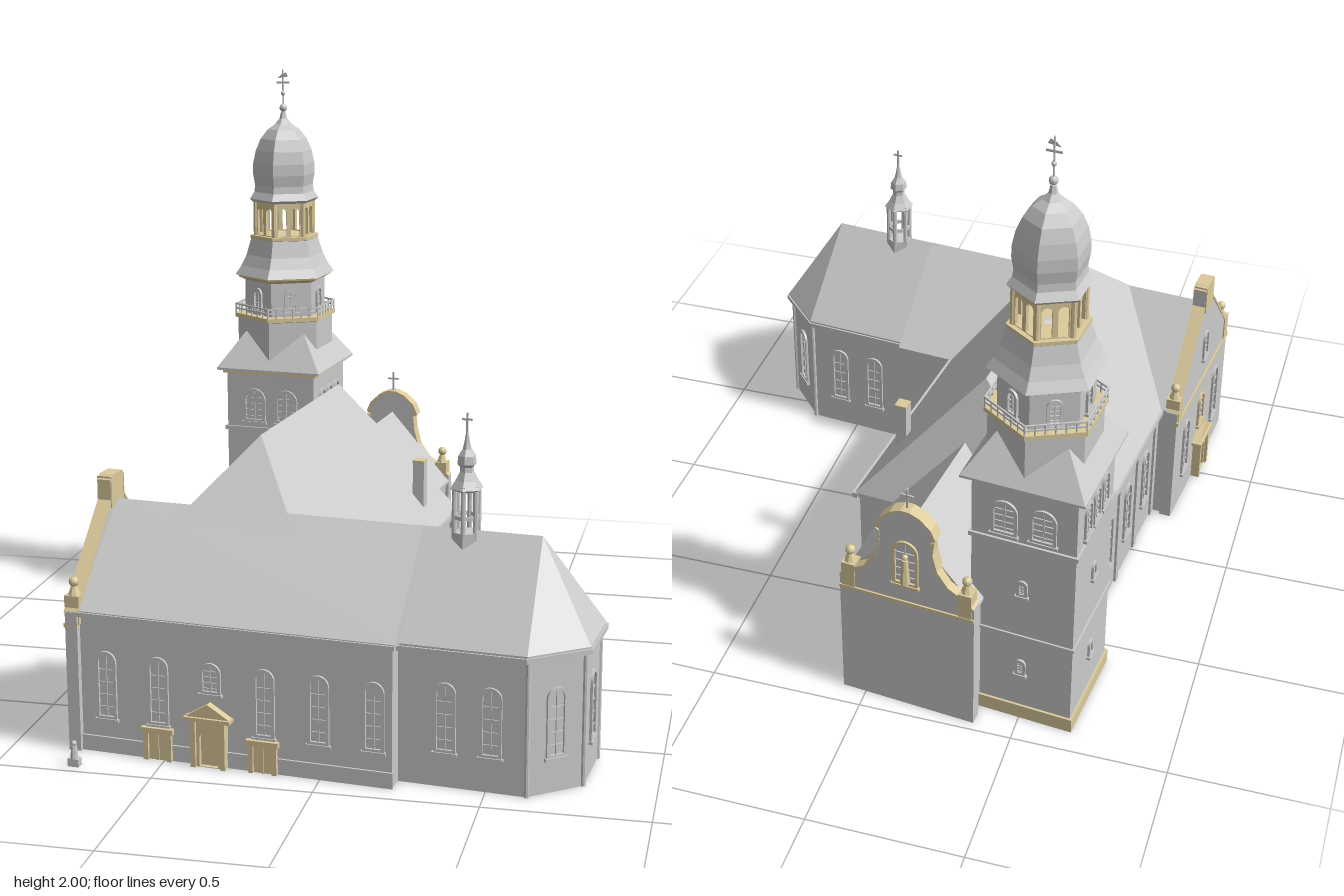
import * as THREE from 'three';
import { ConvexGeometry } from 'three/addons/geometries/ConvexGeometry.js';

const grey = new THREE.MeshStandardMaterial({ color: 0xcccccc, flatShading: true });
const thin = new THREE.MeshStandardMaterial({ color: 0xcccccc, flatShading: true, side: THREE.DoubleSide });
const tan = new THREE.MeshStandardMaterial({ color: 0xdccb9c, flatShading: true });
const Q = Math.PI / 2;

function place(parent, obj, name, x = 0, y = 0, z = 0, ry = 0) {
  obj.name = name;
  obj.position.set(x, y, z);
  obj.rotation.y = ry;
  parent.add(obj);
  return obj;
}
const group = (parent, name, ...at) => place(parent, new THREE.Group(), name, ...at);
const add = (parent, name, geo, mat = grey, ...at) => place(parent, new THREE.Mesh(geo, mat), name, ...at);
// box given by its low and high corners
const block = (parent, name, x0, x1, y0, y1, z0, z1, mat = grey) =>
  add(parent, name, new THREE.BoxGeometry(x1 - x0, y1 - y0, z1 - z0), mat, (x0 + x1) / 2, (y0 + y1) / 2, (z0 + z1) / 2);
// convex roof: plan outline raised from y0 to y1, plus ridge points
function roof(parent, name, plan, y0, y1, ridge = []) {
  const pts = [...plan.flatMap(([x, z]) => [[x, y0, z], [x, y1, z]]), ...ridge];
  add(parent, name, new ConvexGeometry(pts.map(p => new THREE.Vector3(...p))));
}
// open wall shell standing along a path of [x, z] points
function walls(parent, name, path, h) {
  const geo = new THREE.BufferGeometry(), idx = [];
  geo.setAttribute('position', new THREE.Float32BufferAttribute(path.flatMap(([x, z]) => [x, 0, z, x, h, z]), 3));
  for (let i = 0; i < 2 * path.length - 2; i += 2) idx.push(i, i + 2, i + 1, i + 1, i + 2, i + 3);
  geo.setIndex(idx);
  geo.computeVertexNormals();
  add(parent, name, geo, thin);
}
const rect = (x0, x1, z0, z1) => [[x0, z0], [x1, z0], [x1, z1], [x0, z1]];
const extrude = (shape, depth) => new THREE.ExtrudeGeometry(shape, { depth, bevelEnabled: false, curveSegments: 8 });
const poly = pts => new THREE.Shape(pts.map(p => new THREE.Vector2(...p)));
// many-sided turned part, profile as [radius, height] from bottom to top
const turned = (pts, sides = 6) => new THREE.LatheGeometry(pts.map(p => new THREE.Vector2(...p)), sides);
const rod = (r, h, r2 = r) => new THREE.CylinderGeometry(r2, r, h, 8);
const ball = r => new THREE.SphereGeometry(r, 10, 8);

function arch(w, h, y0 = 0, x = 0, Type = THREE.Shape) {
  const s = new Type(), r = w / 2;
  s.moveTo(x - r, y0).lineTo;
  s.lineTo(x + r, y0);
  s.lineTo(x + r, h - r);
  s.absarc(x, h - r, r, 0, Math.PI, false);
  s.closePath();
  return s;
}
// arched frame with glazing bars; its back lies on the wall, facing +z before turning
function archWindow(parent, x, y, z, ry, w = 0.068, h = 0.22, mat = grey) {
  const g = group(parent, 'window', x, y, z, ry), s = arch(w, h);
  s.holes.push(arch(w - 0.02, h - 0.01, 0.01, 0, THREE.Path));
  add(g, 'windowFrame', extrude(s, 0.008), mat);
  block(g, 'mullion', -0.002, 0.002, 0.01, h - 0.01, 0, 0.004);
  for (let k = 1; k < 5; k++)
    block(g, 'glazingBar', -w / 2 + 0.01, w / 2 - 0.01, h * k / 5.5 - 0.001, h * k / 5.5 + 0.001, 0, 0.004);
  block(g, 'sill', -w / 2 - 0.005, w / 2 + 0.005, -0.008, 0.002, 0, 0.012, mat);
}
function smallDoor(parent, x, z, ry) {
  const g = group(parent, 'sideDoor', x, 0, z, ry);
  for (const s of [-1, 1]) block(g, 'doorPost', s * 0.038 - 0.008, s * 0.038 + 0.008, 0, 0.09, 0, 0.014, tan);
  block(g, 'doorLintel', -0.052, 0.052, 0.088, 0.106, 0, 0.018, tan);
  block(g, 'doorLeaf', -0.03, 0.03, 0, 0.088, -0.05, 0.005, tan);
  block(g, 'doorSplit', -0.003, 0.003, 0, 0.088, 0, 0.009, tan);
}
function portal(parent, x, z, ry) {
  const g = group(parent, 'portal', x, 0, z, ry);
  const s = poly([[-0.055, 0], [0.055, 0], [0.055, 0.15], [-0.055, 0.15]]);
  s.holes.push(arch(0.06, 0.12, 0.002, 0, THREE.Path));
  add(g, 'portalFrame', extrude(s, 0.02), tan);
  add(g, 'portalDoor', extrude(arch(0.06, 0.12), 0.056), tan, 0, 0, -0.05);
  for (const k of [-1, 1]) block(g, 'portalColumn', k * 0.048 - 0.008, k * 0.048 + 0.008, 0, 0.15, 0, 0.03, tan);
  block(g, 'portalCornice', -0.075, 0.075, 0.15, 0.162, 0, 0.035, tan);
  add(g, 'pediment', extrude(poly([[-0.07, 0.162], [0.07, 0.162], [0.025, 0.19], [0, 0.205], [-0.025, 0.19]]), 0.026), tan);
}
// gable wall with thin coping and shoulder finials; half = right-hand outline from shoulder to top
function gable(parent, name, half, x, z, ry) {
  const g = group(parent, name, x, 0, z, ry), [w, y] = half[0];
  const top = [...half, ...half.map(([a, b]) => [-a, b]).reverse()];
  add(g, 'gableWall', extrude(poly([[-w, 0], [w, 0], ...top]), 0.04));
  const lower = top.map(([a, b]) => [a * 0.97, b - 0.008]).reverse();
  add(g, 'gableCoping', extrude(poly([...top, ...lower]), 0.046), tan, 0, 0.002, -0.003);
  block(g, 'gableBand', -w, w, y - 0.05, y - 0.038, 0, 0.046, tan);
  for (const s of [-w + 0.03, w - 0.03]) {
    block(g, 'finialBase', s - 0.022, s + 0.022, y - 0.04, y + 0.05, -0.004, 0.044, tan);
    add(g, 'finialNeck', rod(0.02, 0.03, 0.008), tan, s, y + 0.065, 0.02);
    add(g, 'finialBall', ball(0.016), tan, s, y + 0.09, 0.02);
  }
  return g;
}
function cross(parent, y, z, h) {
  block(parent, 'crossPost', -0.003, 0.003, y, y + h, z - 0.003, z + 0.003);
  block(parent, 'crossArm', -h * 0.27, h * 0.27, y + h * 0.62, y + h * 0.62 + 0.006, z - 0.003, z + 0.003);
}
function tower(parent, x, z) {
  const t = group(parent, 'tower', x, 0, z), H = 0.168, D = Math.SQRT2;
  walls(t, 'towerShaft', [...rect(-H, H, -H, H), [-H, -H]], 0.925);
  for (const [y0, y1, e, mat] of [[0, 0.05, 0.008, tan], [0.33, 0.34, 0.006, grey], [0.69, 0.705, 0.008, grey], [0.905, 0.918, 0.012, tan]])
    add(t, 'stringCourse', turned([[H * D, y0], [(H + e) * D, y0], [(H + e) * D, y1], [H * D, y1]], 4), mat, 0, 0, 0, Q / 2);
  for (let k = 0; k < 4; k++) {
    const side = group(t, 'towerSide', 0, 0, 0, k * Q), three = k % 2;
    for (const d of three ? [-0.078, 0, 0.078] : [-0.062, 0.062]) archWindow(side, d, 0.725, H, 0, three ? 0.062 : 0.085, 0.125);
    for (const y of [0.18, 0.5]) archWindow(side, 0, y, H, 0, 0.035, 0.06);
  }
  // square skirt roof running into the six-sided drum
  const q = 0.113, e = 0.197;
  roof(t, 'skirtRoof', rect(-e, e, -e, e), 0.918, 0.926, rect(-q, q, -q, q).map(([a, b]) => [a, 1.052, b]));
  add(t, 'lowerDrum', turned([[0.176, 0.92], [0.176, 1.1]]));
  add(t, 'galleryFloor', turned([[0.17, 1.095], [0.187, 1.1], [0.187, 1.115], [0.1, 1.115]]), tan);
  for (const y of [1.13, 1.146]) add(t, 'galleryRail', turned([[0.18, y], [0.186, y], [0.186, y + 0.006], [0.18, y + 0.006], [0.18, y]]));
  add(t, 'upperDrum', turned([[0.148, 1.1], [0.148, 1.25]]));
  add(t, 'drumCornice', turned([[0.148, 1.238], [0.172, 1.25], [0.176, 1.262]]), tan);
  add(t, 'bellRoof', turned([[0.16, 1.255], [0.184, 1.258], [0.162, 1.29], [0.142, 1.33], [0.13, 1.37], [0.124, 1.39], [0.02, 1.39]]));
  add(t, 'lanternSill', turned([[0.12, 1.385], [0.126, 1.39], [0.126, 1.402], [0.02, 1.402]]), tan);
  // arcade panel with two round-headed openings on each face of the lantern
  const panel = poly([[-0.052, 1.4], [0.052, 1.4], [0.052, 1.53], [-0.052, 1.53]]);
  for (const d of [-0.024, 0.024]) panel.holes.push(arch(0.032, 1.506, 1.405, d, THREE.Path));
  for (let k = 0; k < 6; k++) {
    const side = group(t, 'drumSide', 0, 0, 0, (k + 0.5) * Math.PI / 3);
    add(side, 'lanternArcade', extrude(panel, 0.01), tan, 0, 0, 0.084);
    add(side, 'lanternPost', rod(0.01, 0.13), tan, 0.0525, 1.465, 0.091);
    archWindow(side, 0, 1.125, 0.128, 0, 0.05, 0.09);
    for (let j = 0; j < 6; j++) add(side, 'baluster', rod(0.003, 0.04), grey, -0.0915 + j * 0.0305, 1.132, 0.1585);
  }
  add(t, 'dome', turned([[0.02, 1.525], [0.118, 1.525], [0.127, 1.535], [0.11, 1.56], [0.107, 1.585], [0.114, 1.625], [0.113, 1.665],
    [0.103, 1.71], [0.085, 1.752], [0.058, 1.786], [0.03, 1.805], [0.014, 1.825], [0.008, 1.85]]));
  add(t, 'domeBall', ball(0.014), grey, 0, 1.863, 0);
  add(t, 'vaneRod', rod(0.003, 0.14), grey, 0, 1.93, 0);
  add(t, 'vaneBall', ball(0.008), grey, 0, 1.915, 0);
  block(t, 'vaneArm', -0.024, 0.024, 1.95, 1.957, -0.002, 0.002);
  add(t, 'vaneTail', extrude(poly([[-0.02, 1.968], [0.02, 1.975], [0.012, 1.99], [-0.006, 1.982]]), 0.003));
}
function ridgeTurret(parent, x, z) {
  const t = group(parent, 'ridgeTurret', x, 0, z);
  add(t, 'turretBase', turned([[0.046, 0.66], [0.046, 0.725], [0.005, 0.73]]));
  for (let k = 0; k < 6; k++)
    add(t, 'turretPost', rod(0.008, 0.16), grey, 0.038 * Math.sin(k * Math.PI / 3), 0.79, 0.038 * Math.cos(k * Math.PI / 3));
  add(t, 'turretRail', turned([[0.035, 0.765], [0.043, 0.765], [0.043, 0.777], [0.035, 0.777], [0.035, 0.765]]));
  add(t, 'turretSpire', turned([[0.005, 0.852], [0.04, 0.852], [0.052, 0.86], [0.035, 0.885], [0.022, 0.91], [0.021, 0.925],
    [0.03, 0.935], [0.027, 0.96], [0.014, 0.98], [0.009, 1.0], [0.003, 1.035]]));
  cross(t, 1.03, 0, 0.06);
}
export function createModel() {
  const model = new THREE.Group();
  model.name = 'church';
  const c = group(model, 'building', 0, 0, 0, -0.098);

  // nave
  walls(c, 'naveWalls', [[0.105, 0.305], [0.105, -0.52], [-0.655, -0.52], [-0.655, 0.305]], 0.45);
  roof(c, 'naveRoof', rect(-0.672, 0.12, -0.532, 0.9), 0.442, 0.455, [[-0.277, 0.92, -0.375], [-0.277, 0.92, 0.4]]);
  for (const [x, s] of [[0.105, 1], [-0.655, -1]]) {
    for (const z of [0.187, -0.008, -0.203, -0.398]) archWindow(c, x, 0.125, z, s * Q);
    for (const z of [0.285, 0.09, -0.105, -0.3, -0.495]) block(c, 'navePilaster', x - 0.008, x + 0.008, 0, 0.445, z - 0.014, z + 0.014);
    block(c, 'naveGutter', x + s * 0.015 - 0.009, x + s * 0.015 + 0.009, 0.437, 0.455, -0.536, 0.3);
  }
  block(c, 'chimney', 0.025, 0.065, 0.45, 0.678, -0.325, -0.285);
  block(c, 'chimneyCap', 0.024, 0.066, 0.678, 0.686, -0.326, -0.284, tan);

  // front wing
  walls(c, 'wingWalls', [[0.105, 0.305], [0.315, 0.305], [0.315, 0.898], [-0.7, 0.898], [-0.7, 0.305], [-0.655, 0.305]], 0.45);
  roof(c, 'wingRoof', rect(-0.7, 0.327, 0.293, 0.912), 0.445, 0.455, [[-0.7, 0.73, 0.602], [0.325, 0.73, 0.602]]);
  block(c, 'wingPlinth', -0.7, 0.318, 0, 0.05, 0.898, 0.905);
  block(c, 'wingGutter', -0.7, 0.327, 0.438, 0.452, 0.9, 0.918);
  for (let k = 0; k < 6; k++) archWindow(c, -0.605 + k * 0.1725, k === 2 ? 0.23 : 0.11, 0.898, 0, 0.068, k === 2 ? 0.1 : 0.22);
  portal(c, -0.262, 0.9, 0);
  for (const x of [-0.433, -0.09]) smallDoor(c, x, 0.904, 0);
  const west = gable(c, 'westGable', [[0.313, 0.45], [0.29, 0.48], [0.05, 0.735], [0.05, 0.8], [0.03, 0.815]], -0.69, 0.605, -Q);
  block(west, 'gableCrown', -0.045, 0.045, 0.71, 0.812, -0.003, 0.045, tan);
  portal(west, 0, 0.04, 0);
  for (const x of [-0.18, 0.18]) archWindow(west, x, 0.12, 0.04, 0);
  archWindow(west, 0, 0.21, 0.04, 0, 0.068, 0.13, tan);
  archWindow(west, 0, 0.5, 0.04, 0, 0.055, 0.11);

  // choir with three-sided end
  const choir = e => [[0.3, 0.36 - e], [0.71, 0.36 - e], [0.852 + e, 0.492 - e / 2], [0.852 + e, 0.708 + e / 2], [0.71, 0.84 + e], [0.3, 0.84 + e]];
  walls(c, 'choirWalls', choir(0), 0.435);
  roof(c, 'choirGutter', choir(0.022), 0.42, 0.436);
  roof(c, 'choirRoof', choir(0.016), 0.432, 0.442, [[0.3, 0.73, 0.6], [0.692, 0.73, 0.6]]);
  for (const x of [0.46, 0.6]) for (const s of [-1, 1]) archWindow(c, x, 0.11, 0.6 + s * 0.24, s > 0 ? 0 : Math.PI);
  archWindow(c, 0.852, 0.11, 0.6, Q);
  for (const s of [-1, 1]) archWindow(c, 0.781, 0.11, 0.6 + s * 0.174, Q - s * Math.atan2(0.142, 0.132));
  for (const [x, z] of choir(0).slice(1, 5)) add(c, 'choirDownpipe', rod(0.008, 0.425), grey, x, 0.2125, z);
  ridgeTurret(c, 0.456, 0.6);

  // back wing
  walls(c, 'backWingWalls', [[-0.025, -0.52], [-0.025, -0.9], [-0.45, -0.9], [-0.45, -0.52]], 0.45);
  roof(c, 'backWingRoof', rect(-0.46, -0.013, -0.9, -0.42), 0.442, 0.452, [[-0.236, 0.705, -0.9], [-0.236, 0.705, -0.42]]);
  smallDoor(c, -0.025, -0.692, Q);
  const back = gable(c, 'backGable', [[0.225, 0.47], [0.19, 0.5], [0.14, 0.53], [0.105, 0.58], [0.09, 0.64], [0.085, 0.69],
    [0.1, 0.7], [0.085, 0.735], [0.05, 0.768], [0.015, 0.783]], -0.238, -0.89, Math.PI);
  archWindow(back, 0, 0.5, 0.04, 0, 0.085, 0.17, tan);
  add(back, 'nicheFigure', rod(0.017, 0.09, 0.01), tan, 0, 0.555, 0.045);
  add(back, 'nicheFigureHead', ball(0.01), tan, 0, 0.61, 0.045);
  cross(back, 0.78, 0.02, 0.075);
  tower(c, -0.586, -0.675);

  // free-standing statue
  const statue = group(c, 'statue', -0.66, 0, 1.026);
  block(statue, 'statueBase', -0.018, 0.018, 0, 0.025, -0.012, 0.012);
  add(statue, 'statueBody', rod(0.013, 0.04, 0.009), grey, 0, 0.045, 0);
  add(statue, 'statueHead', ball(0.009), grey, 0, 0.072, 0);
  return model;
}
